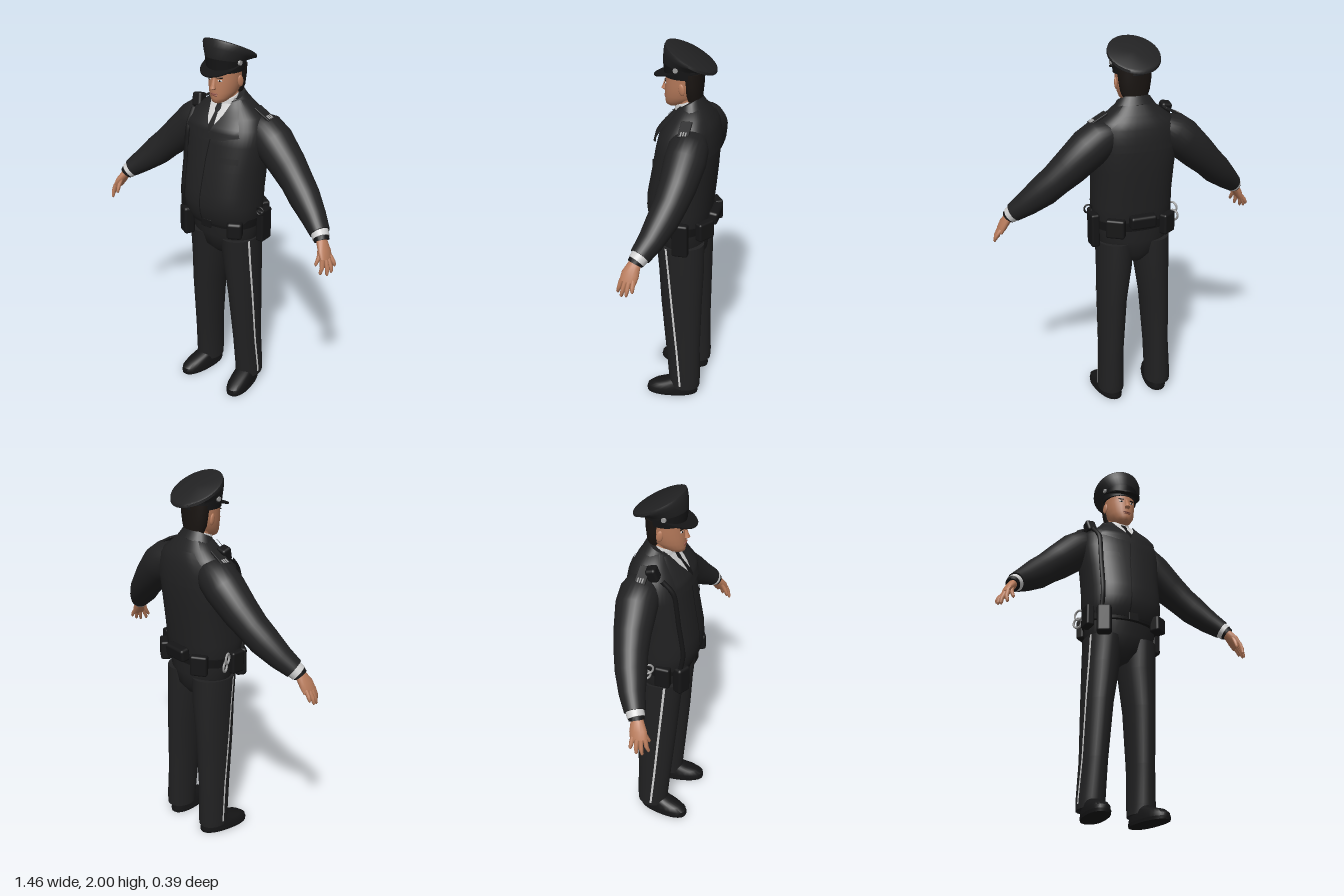
import * as THREE from 'three';
import { toCreasedNormals } from 'three/addons/utils/BufferGeometryUtils.js';
import { RoundedBoxGeometry } from 'three/addons/geometries/RoundedBoxGeometry.js';

const colours = { uniform: 0x212122, leather: 0x151516, skin: 0xb97c5c, hair: 0x1a1512, white: 0xcfcfcf, metal: 0x9a9a9a, lips: 0x95584a };
const JACKET_POWER = 2.4;

// jacket sections: y, half width, front z, back z
const jacket = [[1.045, .198, .16, -.135], [1.09, .21, .182, -.145], [1.15, .214, .19, -.15], [1.22, .213, .186, -.158], [1.35, .218, .16, -.17],
  [1.48, .23, .135, -.178], [1.56, .225, .115, -.172], [1.61, .195, .078, -.158], [1.65, .14, .045, -.137], [1.69, .095, .02, -.11]];
// leg sections: x, y, z, half width, half depth
const leg = [[.14, .05, -.033, .07, .085], [.14, .1, -.033, .07, .088], [.133, .3, -.022, .068, .095], [.122, .6, -.012, .079, .112],
  [.106, .8, -.008, .094, .122], [.1, .95, 0, .1, .128]];

// straight-line lookup in a table sorted by column k
function sample(table, k, v) {
  let i = 1;
  while (i < table.length - 1 && table[i][k] < v) i++;
  const a = table[i - 1], b = table[i], t = THREE.MathUtils.clamp((v - a[k]) / (b[k] - a[k]), 0, 1);
  return a.map((p, j) => p + (b[j] - p) * t);
}

function buildGeometry(pos, idx) {
  const g = new THREE.BufferGeometry();
  g.setAttribute('position', new THREE.Float32BufferAttribute(pos, 3));
  g.setIndex(idx);
  return g;
}

// skin through rings [x, y, z, ru, rv, tilt]; flat rings stay level (or tilted), others follow the path
function loft(rings, { flat = false, power = 2, n = 28 } = {}) {
  const pos = [], idx = [], m = rings.length, P = rings.map(r => new THREE.Vector3(r[0], r[1], r[2]));
  const bend = c => Math.sign(c) * Math.abs(c) ** (2 / power);
  rings.forEach((r, i) => {
    const a = r[5] || 0;
    const T = flat ? new THREE.Vector3(0, Math.cos(a), -Math.sin(a)) : P[Math.min(i + 1, m - 1)].clone().sub(P[Math.max(i - 1, 0)]).normalize();
    const v = new THREE.Vector3(0, 0, 1).addScaledVector(T, -T.z).normalize();
    const u = T.clone().cross(v);
    for (let j = 0; j < n; j++) {
      const q = j / n * Math.PI * 2;
      const p = P[i].clone().addScaledVector(u, bend(Math.cos(q)) * r[3]).addScaledVector(v, bend(Math.sin(q)) * r[4]);
      pos.push(p.x, p.y, p.z);
    }
  });
  for (const p of [P[0], P[m - 1]]) pos.push(p.x, p.y, p.z);
  for (let j = 0; j < n; j++) {
    const k = (j + 1) % n, e = (m - 1) * n;
    for (let i = 0; i < m - 1; i++) {
      const a = i * n + j, b = i * n + k;
      idx.push(a, a + n, b, b, a + n, b + n);
    }
    idx.push(m * n, j, k, m * n + 1, e + k, e + j);
  }
  return toCreasedNormals(buildGeometry(pos, idx), 0.8);
}

// open sheet: point(row, t) gives each corner
function sheet(rows, cols, point, flip) {
  const pos = [], idx = [];
  rows.forEach((r, i) => {
    for (let j = 0; j <= cols; j++) {
      pos.push(...point(r, j / cols));
      if (i && j) {
        const d = i * (cols + 1) + j, c = d - 1, b = d - cols - 1, a = b - 1;
        idx.push(...(flip ? [a, b, c, b, d, c] : [a, c, b, b, c, d]));
      }
    }
  });
  const g = buildGeometry(pos, idx);
  g.computeVertexNormals();
  return g;
}

// z of the jacket surface, front or back
function jacketZ(x, y, back) {
  const [, w, f, b] = sample(jacket, 0, y), k = (1 - Math.min(1, Math.abs(x / w)) ** JACKET_POWER) ** (1 / JACKET_POWER);
  return (f + b) / 2 + (back ? -1 : 1) * (f - b) / 2 * k;
}

// cloth panel lying on the jacket, rows [y, x0, x1] from the top down
function panel(rows, lift, back = false) {
  const fine = [];
  rows.forEach((r, i) => {
    if (i) for (const t of [.33, .67]) fine.push(r.map((v, j) => rows[i - 1][j] + (v - rows[i - 1][j]) * t));
    fine.push(r);
  });
  return sheet(fine, 8, ([y, a, b], t) => {
    const x = a + (b - a) * t;
    return [x, y, jacketZ(x, y, back) + (back ? -lift : lift)];
  }, back);
}

export function createModel() {
  const model = new THREE.Group();
  model.name = 'officer';
  const mats = {};
  for (const [name, color] of Object.entries(colours)) {
    mats[name] = new THREE.MeshStandardMaterial({ color });
    mats[name].name = name;
  }
  const add = (name, mat, geo, p = [0, 0, 0], r = [0, 0, 0], s = [1, 1, 1]) => {
    const mesh = new THREE.Mesh(geo, mats[mat]);
    mesh.name = name;
    mesh.position.set(...p);
    mesh.rotation.set(...r);
    mesh.scale.set(...s);
    model.add(mesh);
    return mesh;
  };
  const box = (name, mat, size, p, r) => add(name, mat, new RoundedBoxGeometry(...size, 2, Math.min(...size) * .25), p, r);
  const ball = (name, mat, size, p, r) => add(name, mat, new THREE.SphereGeometry(1, 16, 10), p, r, size);
  const flat = { flat: true };

  // torso and hips
  add('jacket', 'uniform', loft(jacket.map(([y, w, f, b]) => [0, y, (f + b) / 2, w, (f - b) / 2]), { flat: true, power: JACKET_POWER, n: 48 }));
  add('hips', 'uniform', loft([[0, .83, -.01, .05, .07], [0, .88, -.005, .14, .115], [0, .96, 0, .198, .13], [0, 1.07, .005, .2, .14]], flat));
  add('belt', 'leather', loft([[0, 1.03, .006, .206, .15], [0, 1.08, .006, .214, .158]], { flat: true, power: 2.3, n: 40 }));
  add('jacketCollar', 'uniform', loft([[0, 1.65, -.035, .125, .088, -.5], [0, 1.685, -.028, .1, .076, -.5], [0, 1.705, -.025, .087, .07, -.5]], flat));
  add('shirtCollar', 'white', loft([[0, 1.655, -.008, .072, .066, -.4], [0, 1.705, -.006, .06, .058, -.4]], flat));
  add('shirtFront', 'white', panel([[1.67, -.066, .066], [1.6, -.04, .04], [1.545, -.002, .002]], .012));
  add('tie', 'leather', panel([[1.668, -.013, .013], [1.645, -.017, .017], [1.63, -.009, .009], [1.545, -.02, .02]], .017));
  add('frontSeam', 'leather', panel([[1.51, .0, .006], [1.4, -.014, -.008], [1.2, -.026, -.02], [1.05, -.028, -.022]], .003));
  add('backYoke', 'uniform', panel([[1.64, -.1, .1], [1.58, -.17, .17], [1.47, -.19, .19]], .006, true));

  // head
  add('neck', 'skin', loft([[0, 1.6, -.03, .055, .058], [0, 1.76, -.015, .055, .06]], flat));
  add('head', 'skin', loft([[0, 1.676, .058, .02, .025], [0, 1.685, .05, .036, .046], [0, 1.705, .03, .054, .07], [0, 1.735, .012, .07, .088],
    [0, 1.77, .006, .077, .094], [0, 1.8, .002, .082, .095], [0, 1.87, 0, .085, .097]], flat));
  add('hair', 'hair', loft([[0, 1.715, -.05, .062, .038], [0, 1.75, -.046, .077, .046], [0, 1.8, -.044, .085, .053], [0, 1.86, -.04, .09, .06]], flat));
  add('nose', 'skin', loft([[0, 1.752, .098, .012, .008], [0, 1.76, .103, .016, .018], [0, 1.775, .1, .011, .014], [0, 1.812, .092, .008, .008]], { flat: true, n: 12 }));
  ball('upperLip', 'lips', [.024, .0045, .006], [0, 1.729, .098]);
  ball('lowerLip', 'lips', [.02, .005, .006], [0, 1.721, .096]);
  for (const s of [1, -1]) {
    ball('ear', 'skin', [.008, .03, .017], [s * .086, 1.785, -.004], [.15, s * -.25, 0]);
    ball('eye', 'white', [.013, .005, .004], [s * .032, 1.798, .0895], [0, s * .25, 0]);
    ball('iris', 'hair', [.005, .005, .003], [s * .032, 1.798, .092], [0, s * .25, 0]);
    box('eyebrow', 'hair', [.032, .006, .006], [s * .032, 1.813, .091], [0, s * .3, s * .1]);
  }

  // peaked cap
  add('capBand', 'leather', loft([[0, 1.835, 0, .094, .101], [0, 1.885, .004, .1, .106, .2]], flat));
  add('capCrown', 'uniform', loft([[0, 1.875, .003, .097, .103, .2], [0, 1.89, .002, .103, .108, .22], [0, 1.91, -.016, .124, .13, .4],
    [0, 1.922, -.03, .135, .145, .48], [0, 1.934, -.033, .133, .142, .48], [0, 1.938, -.034, .124, .132, .48]], { flat: true, n: 40 }));
  const peak = new THREE.Shape().absellipse(0, 0, .103, .152, 0, Math.PI);
  add('capPeak', 'leather', new THREE.ExtrudeGeometry(peak, { depth: .007, bevelEnabled: false, curveSegments: 24 }), [0, 1.876, .01], [Math.PI / 2 + .28, 0, 0]);
  for (const s of [1, -1]) add('capButton', 'metal', new THREE.CylinderGeometry(.012, .014, .01, 8), [s * .103, 1.885, .022], [0, 0, -s * Math.PI / 2]);

  // limbs and mirrored details
  for (const s of [1, -1]) {
    const limb = (name, mat, rings, opt) => add(name, mat, loft(rings.map(r => [s * r[0], ...r.slice(1)]), opt));
    limb('sleeve', 'uniform', [[.14, 1.555, -.065, .07, .08], [.19, 1.53, -.066, .1, .1], [.25, 1.485, -.064, .104, .104], [.35, 1.39, -.05, .094, .092],
      [.42, 1.325, -.032, .083, .083], [.48, 1.268, -.01, .081, .078], [.56, 1.198, .025, .064, .064], [.62, 1.148, .06, .05, .052]]);
    limb('shirtCuff', 'white', [[.608, 1.157, .052, .046, .046], [.637, 1.128, .073, .043, .043]]);
    limb('wristBand', 'leather', [[.634, 1.132, .071, .04, .04], [.645, 1.117, .078, .037, .038]]);
    limb('palm', 'skin', [[.63, 1.135, .07, .024, .028], [.65, 1.11, .082, .023, .034], [.672, 1.075, .094, .022, .044], [.69, 1.04, .102, .016, .042]], { n: 16 });
    const fingers = [[.684, 1.05, .133, .69, .978, .152], [.692, 1.045, .114, .713, .97, .128], [.694, 1.045, .095, .721, .978, .102],
      [.69, 1.052, .074, .72, 1.0, .072], [.655, 1.095, .108, .658, 1.012, .145]];
    for (const [x, y, z, X, Y, Z] of fingers)
      limb('finger', 'skin', [[x, y, z, .012, .012], [(x + X) / 2 + .006, (y + Y) / 2, (z + Z) / 2, .011, .011], [X, Y + .008, Z, .008, .008], [X, Y, Z, .003, .003]], { n: 10 });

    limb('trouserLeg', 'uniform', leg, flat);
    const rows = [];
    for (let i = 0; i <= 24; i++) rows.push(.95 - i * .0365);
    add('trouserStripe', 'white', sheet(rows, 1, (y, t) => {
      const [cx, , cz, rx, rz] = sample(leg, 1, y), z = -.03 + .09 * y + .006 - .012 * t;
      return [s * (cx + rx * Math.sqrt(1 - ((z - cz) / rz) ** 2) + .003), y, z];
    }, s < 0));

    const turn = [0, s * .16, 0], foot = [s * .141, 0, 0];
    add('shoe', 'leather', loft([[0, .014, .037, .06, .142], [0, .035, .037, .06, .14], [0, .058, .022, .054, .122], [0, .075, -.005, .05, .09], [0, .1, -.03, .046, .066]],
      { flat: true, power: 2.3 }), foot, turn);
    add('sole', 'leather', loft([[0, 0, .037, .061, .143], [0, .016, .037, .063, .145]], { flat: true, power: 2.3 }), foot, turn);

    const lapel = [[1.68, .064, .09], [1.62, .045, .13], [1.57, .014, .155], [1.535, 0, .165], [1.51, 0, .08]];
    add('lapel', 'uniform', panel(lapel.map(([y, a, b]) => s > 0 ? [y, a, b] : [y, -b, -a]), .02));
    const flap = [[1.425, .07, .165], [1.395, .07, .165]];
    add('pocketFlap', 'uniform', panel(flap.map(([y, a, b]) => s > 0 ? [y, a, b] : [y, -b, -a]), .005));
    box('epaulette', 'uniform', [.1, .012, .055], [s * .2, 1.628, -.05], [0, 0, -s * .5]);
    for (const z of [-.062, -.05, -.038]) box('rankBar', 'metal', [.026, .008, .007], [s * .232, 1.617, z], [0, 0, -s * .5]);
  }

  // belt equipment
  box('radioPouch', 'leather', [.078, .155, .06], [-.155, 1.01, .135], [0, -.5, 0]);
  box('rightPouch', 'leather', [.045, .12, .08], [-.212, 1.045, .055]);
  box('rightRearPouch', 'leather', [.09, .11, .045], [-.145, 1.055, -.14], [0, .6, 0]);
  box('leftPouch', 'leather', [.08, .09, .06], [.16, 1.04, .135], [0, .5, 0]);
  box('holster', 'leather', [.045, .18, .085], [.224, 1.03, -.03]);
  box('leftRearPouch', 'leather', [.1, .1, .045], [.14, 1.06, -.14], [0, -.6, 0]);
  box('backPouch', 'leather', [.14, .07, .055], [0, 1.09, -.163], [-.15, 0, 0]);
  add('batonRing', 'leather', new THREE.TorusGeometry(.022, .005, 8, 20), [.235, 1.125, .02]);
  box('buckle', 'leather', [.06, .045, .012], [0, 1.045, .165]);
  for (const [y, z] of [[1.085, -.02], [1.045, -.035]]) add('handcuff', 'metal', new THREE.TorusGeometry(.027, .006, 8, 20), [-.228, y, z], [0, Math.PI / 2 + .5, 0]);

  // shoulder microphone and its cord
  box('microphone', 'leather', [.058, .075, .055], [-.178, 1.632, -.005], [-.3, 0, .15]);
  const cord = [[-.178, 1.6, .04]];
  for (let y = 1.53; y > 1.05; y -= .09) cord.push([-.168, y, jacketZ(-.168, y) + .008]);
  add('microphoneCord', 'leather', new THREE.TubeGeometry(new THREE.CatmullRomCurve3(cord.map(p => new THREE.Vector3(...p))), 40, .013, 8));
  return model;
}
